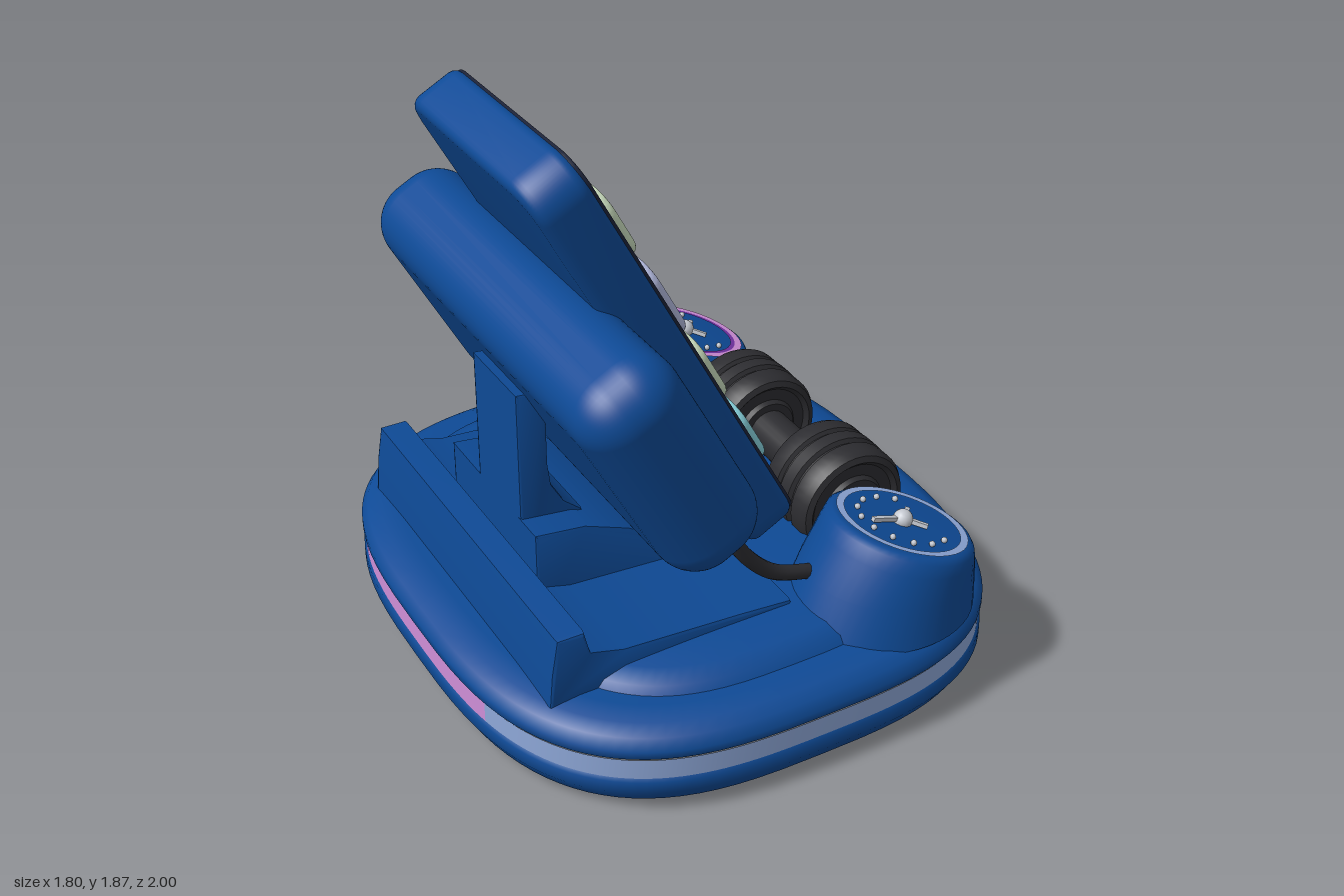
import * as THREE from 'three';
import { toCreasedNormals } from 'three/addons/utils/BufferGeometryUtils.js';
import { RoundedBoxGeometry } from 'three/addons/geometries/RoundedBoxGeometry.js';

const mat = (name, color, side = THREE.FrontSide) => {
  const m = new THREE.MeshStandardMaterial({ color, side });
  m.name = name;
  return m;
};

// Stack of superellipse rings, each row [y, rx, rz, x, slope]; n is the exponent
function loft(rows, { n = 2, t0 = 0, t1 = Math.PI * 2, seg = 96 } = {}) {
  const pos = [], idx = [];
  const p = v => Math.sign(v) * Math.pow(Math.abs(v), 2 / n);
  const closed = t1 - t0 > 6.28;
  const cols = closed ? seg : seg + 1;
  for (const [y, rx, rz, x = 0, slope = 0] of rows) {
    for (let j = 0; j < cols; j++) {
      const t = t0 + (t1 - t0) * j / seg;
      const dx = rx * p(Math.cos(t));
      pos.push(x + dx, y + slope * dx, rz * p(Math.sin(t)));
    }
  }
  for (let i = 0; i < rows.length - 1; i++) {
    for (let j = 0; j < seg; j++) {
      const k = (j + 1) % cols;
      const a = i * cols + j, b = i * cols + k, c = a + cols, d = b + cols;
      idx.push(a, c, b, b, c, d);
    }
  }
  const g = new THREE.BufferGeometry();
  g.setAttribute('position', new THREE.Float32BufferAttribute(pos, 3));
  g.setIndex(idx);
  g.computeVertexNormals();
  return g;
}

// Rounded plate, w along z, h along y, thickness along +x from zero
function plate(w, h, r, depth, bevel = 0) {
  const a = w / 2 - bevel, b = h / 2 - bevel, q = Math.max(r - bevel, 0.005);
  const s = new THREE.Shape();
  s.moveTo(-a + q, -b);
  s.lineTo(a - q, -b).absarc(a - q, -b + q, q, -Math.PI / 2, 0);
  s.lineTo(a, b - q).absarc(a - q, b - q, q, 0, Math.PI / 2);
  s.lineTo(-a + q, b).absarc(-a + q, b - q, q, Math.PI / 2, Math.PI);
  s.lineTo(-a, -b + q).absarc(-a + q, -b + q, q, Math.PI, Math.PI * 1.5);
  const g = new THREE.ExtrudeGeometry(s, {
    depth: depth - 2 * bevel, bevelEnabled: bevel > 0, bevelSize: bevel,
    bevelThickness: bevel, bevelSegments: 4, curveSegments: 8,
  });
  g.translate(0, 0, bevel).rotateY(Math.PI / 2);
  return toCreasedNormals(g, 0.7);
}

// Side profile in x and y, extruded across z
function profile(points, width, z = 0) {
  const s = new THREE.Shape(points.map(([x, y]) => new THREE.Vector2(x, y)));
  const g = new THREE.ExtrudeGeometry(s, {
    depth: width - 0.03, bevelSize: 0.01, bevelThickness: 0.015, bevelOffset: -0.01, bevelSegments: 2,
  });
  g.translate(0, 0, z - width / 2 + 0.015);
  return toCreasedNormals(g, 0.6);
}

export function createModel() {
  const root = new THREE.Group();
  const blue = mat('body blue', 0x0e4a96);
  const black = mat('rubber black', 0x2c2c30);
  const navy = mat('bezel navy', 0x1d2338);
  const cyan = mat('screen cyan', 0x88d3de);
  const green = mat('tile green', 0xc9dcbd);
  const lavender = mat('tile lavender', 0xb2b9de);
  const periwinkle = mat('light periwinkle', 0x8fa9da);
  const pink = mat('light pink', 0xcf8fd8);
  const purple = mat('light purple', 0x7433a6);
  const silver = mat('silver', 0xc4c8d0);
  const add = (name, geo, m, parent = root, x = 0, y = 0, z = 0) => {
    const mesh = new THREE.Mesh(geo, m);
    mesh.name = name;
    mesh.position.set(x, y, z);
    parent.add(mesh);
    return mesh;
  };

  // Base with a light strip running around its waist
  const n = 3;
  add('baseLower', loft([[0, 0, 0], [0, 0.79, 0.89], [0.008, 0.83, 0.93], [0.035, 0.875, 0.975],
    [0.08, 0.9, 1], [0.12, 0.9, 1], [0.135, 0.885, 0.985]], { n }), blue);
  add('baseUpper', loft([[0.195, 0.885, 0.985], [0.21, 0.9, 1], [0.235, 0.9, 1], [0.27, 0.88, 0.98],
    [0.29, 0.84, 0.94], [0.3, 0.78, 0.88], [0.31, 0, 0]], { n }), blue);
  const strip = (name, m, t0, t1, y0 = 0.13, y1 = 0.2, out = 0.008) =>
    add(name, loft([[y0, 0.885 + out, 0.985 + out], [y1, 0.885 + out, 0.985 + out]], { n, t0, t1, seg: 64 }), m);
  strip('stripFront', cyan, -0.256, 0.483);
  strip('stripLeft', periwinkle, 0.483, 2.84);
  strip('stripRight', pink, 2.84, 5.9);
  strip('stripBlend', purple, 5.9, 6.027);
  strip('stripEdgeLow', purple, 3.6, 5.95, 0.118, 0.135, 0.018);
  strip('stripEdgeHigh', purple, 3.6, 5.95, 0.195, 0.217, 0.018);

  // Raised deck, rear ledge, rear post and its flared web
  add('deck', loft([[0.28, 0.7, 0.86, -0.03], [0.325, 0.68, 0.83, -0.03], [0.35, 0.63, 0.78, -0.03],
    [0.36, 0.5, 0.66, -0.03], [0.365, 0, 0, -0.03]], { n }), blue);
  add('rearLedge', profile([[-0.75, 0.28], [0.1, 0.28], [0.08, 0.37], [-0.1, 0.385], [-0.5, 0.41],
    [-0.61, 0.44], [-0.63, 0.52], [-0.72, 0.52], [-0.74, 0.4]], 1.31), blue);
  add('web', profile([[-0.61, 0.3], [0.05, 0.3], [0.05, 0.41], [-0.08, 0.43], [-0.19, 0.49], [-0.29, 0.55],
    [-0.44, 0.61], [-0.61, 0.63]], 0.6), blue);
  add('rearPost', profile([[-0.61, 0.35], [-0.35, 0.35], [-0.4, 0.6], [-0.46, 0.65], [-0.5, 0.72],
    [-0.51, 0.8], [-0.51, 1.06], [-0.61, 1.07]], 0.3, 0.05), blue);

  // Tilted assembly: local x is the screen normal, local y runs up the screen
  const tilt = new THREE.Group();
  tilt.name = 'phoneAndCushion';
  tilt.rotation.z = 0.496;
  root.add(tilt);
  add('cushion', new RoundedBoxGeometry(0.335, 0.8, 1.58, 7, 0.14), blue, tilt, 0.165, 1.07, 0);
  const zc = -0.02;
  add('phoneBody', plate(0.84, 1.64, 0.12, 0.178, 0.035), blue, tilt, 0.284, 1.07, zc);
  add('bezel', plate(0.81, 1.61, 0.1, 0.03, 0.008), navy, tilt, 0.436, 1.07, zc);
  add('screen', plate(0.755, 1.52, 0.08, 0.008), cyan, tilt, 0.461, 1.075, zc);
  add('notch', plate(0.36, 0.1, 0.035, 0.008), navy, tilt, 0.464, 1.795, -0.01);
  add('homeBar', plate(0.08, 0.014, 0.006, 0.006), silver, tilt, 0.466, 0.36, 0.1);
  add('sideButton', new RoundedBoxGeometry(0.06, 0.28, 0.04, 4, 0.018), black, tilt, 0.375, 1.32, -0.455);

  // Screen tiles, rows given by world height
  const rows = [[1.48, 1.705, green, cyan], [1.174, 1.437, lavender, green],
    [0.906, 1.142, green, cyan], [0.638, 0.863, cyan, cyan]];
  rows.forEach(([lo, hi, mLeft, mRight], i) => {
    const h = (hi - lo) / 0.88, s = ((hi + lo) / 2 - 0.23) / 0.88;
    add('tileLeft' + i, plate(0.314, h, 0.075, 0.045, 0.02), mLeft, tilt, 0.455, s, 0.158);
    add('tileRight' + i, plate(0.335, h, 0.075, 0.045, 0.02), mRight, tilt, 0.455, s, -0.193);
  });

  // Dials and cables on both sides
  for (const side of [1, -1]) {
    const z = side * 0.675;
    const label = side > 0 ? 'Left' : 'Right';
    add('dialHousing' + label, loft([[0.28, 0.31, 0.28, 0.39], [0.4, 0.28, 0.26, 0.42, -0.12],
      [0.49, 0.242, 0.25, 0.45, -0.25], [0.525, 0.23, 0.238, 0.46, -0.317], [0.538, 0.218, 0.222, 0.465, -0.317],
      [0.54, 0.2, 0.205, 0.465, -0.317], [0.54, 0, 0, 0.465, -0.317]], { seg: 48 }), blue, root, 0, 0, z);
    const face = new THREE.Group();
    face.name = 'dialFace' + label;
    face.position.set(0.465, 0.54, z);
    face.rotation.z = -0.307;
    root.add(face);
    const ring = (name, r0, r1, m) => add(name, new THREE.RingGeometry(r0, r1, 48).rotateX(-Math.PI / 2), m, face, 0, 0.006);
    ring('dialRing', 0.188, 0.213, side > 0 ? periwinkle : pink);
    if (side < 0) ring('dialInnerRing', 0.172, 0.188, purple);
    for (let i = 0; i < 10; i++) {
      const a = 1.05 + i * 0.46;
      add('hourDot', new THREE.SphereGeometry(0.01, 8, 6), silver, face, 0.145 * Math.cos(a), 0.008, 0.145 * Math.sin(a));
    }
    add('hub', new THREE.SphereGeometry(0.032, 16, 10), silver, face, 0, 0.012);
    for (const [a, len] of [[Math.PI, 0.12], [0.75, 0.08], [-0.75, 0.08]]) {
      const hand = add('hand', new THREE.BoxGeometry(len, 0.014, 0.016), silver, face,
        Math.cos(a) * len / 2, 0.014, Math.sin(a) * len / 2);
      hand.rotation.y = -a;
    }
    const path = new THREE.CatmullRomCurve3([[-0.16, 0.76], [-0.12, 0.65], [-0.06, 0.56], [0.03, 0.48], [0.18, 0.43]]
      .map(([x, y]) => new THREE.Vector3(x, y, side * 0.63)));
    add('cable' + label, new THREE.TubeGeometry(path, 20, 0.025, 10), black);
  }

  // Dumbbell lying across the front: rod and two grooved weights
  const bell = new THREE.Group();
  bell.name = 'dumbbell';
  bell.position.set(0.49, 0.415, 0);
  root.add(bell);
  add('rod', new THREE.CylinderGeometry(0.075, 0.075, 0.4, 24).rotateX(Math.PI / 2), black, bell);
  const weight = toCreasedNormals(new THREE.LatheGeometry([[0, -0.13], [0.1, -0.13], [0.11, -0.115], [0.15, -0.115],
    [0.165, -0.13], [0.185, -0.122], [0.196, -0.1], [0.196, -0.05], [0.184, -0.042], [0.184, -0.032], [0.198, -0.024],
    [0.198, 0.024], [0.184, 0.032], [0.184, 0.042], [0.196, 0.05], [0.196, 0.1], [0.185, 0.122], [0.165, 0.13],
    [0.15, 0.115], [0.11, 0.115], [0.1, 0.13], [0, 0.13]].map(([r, y]) => new THREE.Vector2(r, y)), 40), 0.6);
  weight.rotateX(Math.PI / 2);
  for (const z of [0.262, -0.265]) add('weight', weight, black, bell, 0, 0, z);

  return root;
}
